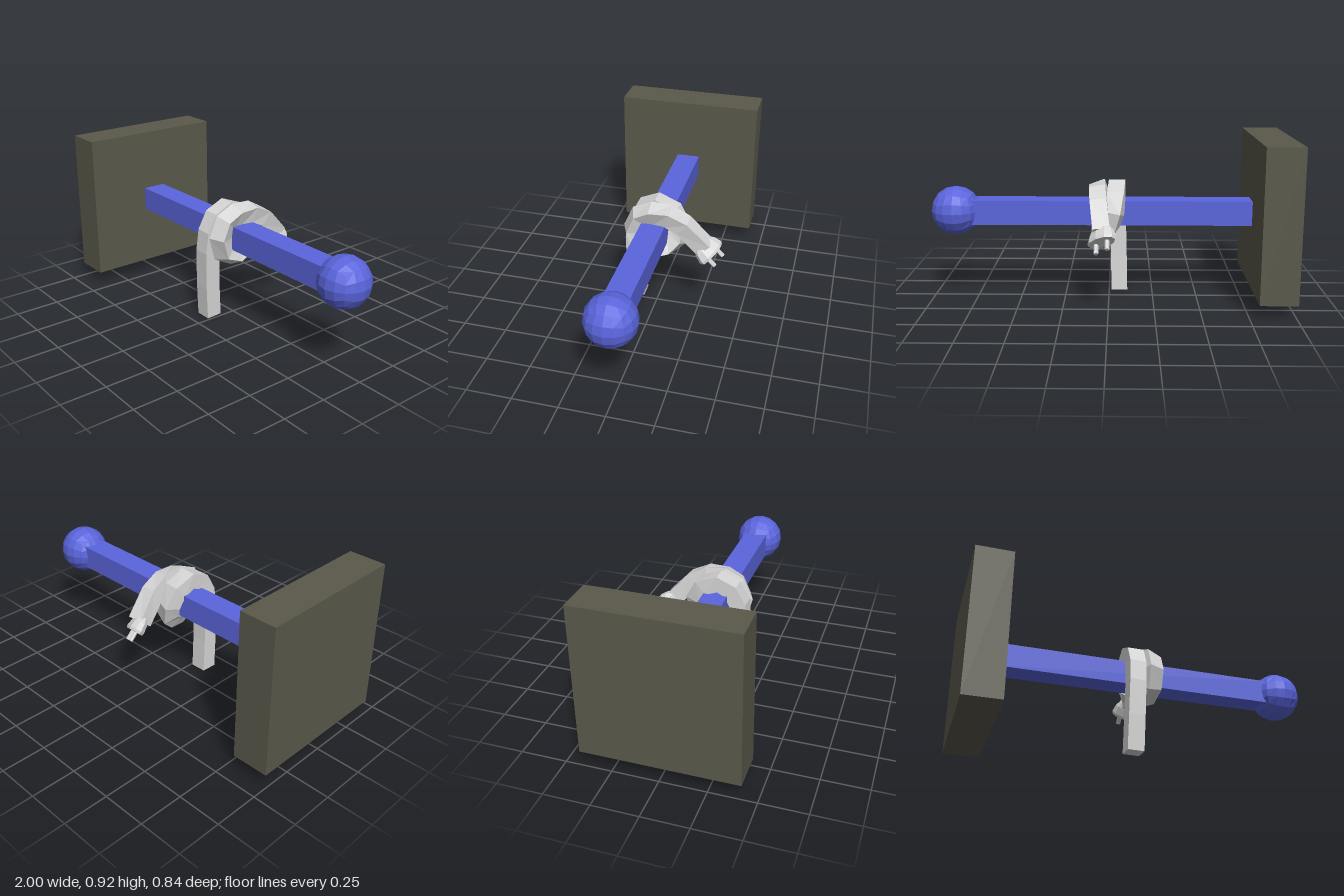
import * as THREE from 'three';

const V = (x, y, z) => new THREE.Vector3(x, y, z);

// Square cord swept along points [x, y, z, roll]
function cordGeometry(points, half) {
  const pts = points.map((p) => V(p[0], p[1], p[2]));
  const pos = [], idx = [];
  pts.forEach((p, i) => {
    const before = pts[Math.max(i - 1, 0)], after = pts[Math.min(i + 1, pts.length - 1)];
    const t = after.clone().sub(before).normalize();
    const side = V(1, 0, 0).addScaledVector(t, -t.x).normalize();
    const out = side.clone().cross(t);
    const roll = points[i][3];
    const s = side.clone().multiplyScalar(Math.cos(roll)).addScaledVector(out, -Math.sin(roll));
    const n = out.clone().multiplyScalar(Math.cos(roll)).addScaledVector(side, Math.sin(roll));
    for (const [a, b] of [[1, 1], [-1, 1], [-1, -1], [1, -1]]) {
      const c = p.clone().addScaledVector(s, a * half).addScaledVector(n, b * half);
      pos.push(c.x, c.y, c.z);
    }
    if (i === 0) return;
    for (let k = 0; k < 4; k++) {
      const a = (i - 1) * 4 + k, b = (i - 1) * 4 + (k + 1) % 4;
      idx.push(a, a + 4, b + 4, a, b + 4, b);
    }
  });
  const e = (pts.length - 1) * 4;
  idx.push(0, 1, 2, 0, 2, 3, e, e + 2, e + 1, e, e + 3, e + 2);
  const g = new THREE.BufferGeometry();
  g.setAttribute('position', new THREE.Float32BufferAttribute(pos, 3));
  g.setIndex(idx);
  const flat = g.toNonIndexed();
  flat.computeVertexNormals();
  return flat;
}

// Ball made from a subdivided cube
function ballGeometry(radius) {
  const g = new THREE.BoxGeometry(1, 1, 1, 4, 4, 4).toNonIndexed();
  const p = g.attributes.position;
  const v = V(0, 0, 0);
  for (let i = 0; i < p.count; i++) {
    v.fromBufferAttribute(p, i);
    // even out the cell sizes before projecting
    v.set(Math.tan(v.x * Math.PI / 2), Math.tan(v.y * Math.PI / 2), Math.tan(v.z * Math.PI / 2));
    v.setLength(radius);
    p.setXYZ(i, v.x, v.y, v.z);
  }
  g.computeVertexNormals();
  return g;
}

export function createModel() {
  const model = new THREE.Group();
  const material = (name, color) => {
    const m = new THREE.MeshStandardMaterial({ color, flatShading: true });
    m.name = name;
    return m;
  };
  const olive = material('dark olive', 0x5a594b);
  const blue = material('blue', 0x5a65dc);
  const grey = material('light grey', 0xd6d6d6);

  const add = (parent, name, geometry, mat, x = 0, y = 0, z = 0) => {
    const mesh = new THREE.Mesh(geometry, mat);
    mesh.name = name;
    mesh.position.set(x, y, z);
    parent.add(mesh);
    return mesh;
  };

  // Mounting block, bar and end ball
  add(model, 'wallBlock', new THREE.BoxGeometry(0.205, 0.835, 0.84), olive, -0.8975, 0.4975, 0);
  add(model, 'bar', new THREE.BoxGeometry(1.6, 0.136, 0.136), blue, 0.005, 0.494, 0);
  add(model, 'endBall', ballGeometry(0.138), blue, 0.862, 0.496, 0);

  // Cord: hangs in front, wraps once round the bar and leaves at the back
  const path = [
    [-0.06, 0, 0.127, 0], [-0.056, 0.2, 0.137, 0], [-0.051, 0.4, 0.14, 0],
    [-0.047, 0.51, 0.128, 0], [-0.045, 0.59, 0.086, 0], [-0.045, 0.625, 0.01, 0],
    [-0.042, 0.587, -0.082, 0.1], [-0.03, 0.505, -0.125, 0.25], [-0.008, 0.433, -0.112, 0.4],
    [0.015, 0.386, -0.06, 0.45], [0.036, 0.37, 0.018, 0.45], [0.045, 0.408, 0.1, 0.42],
    [0.048, 0.5, 0.124, 0.4], [0.048, 0.582, 0.088, 0.4], [0.052, 0.615, 0.015, 0.35],
    [0.055, 0.612, -0.08, 0.2], [0.053, 0.567, -0.165, 0.08], [0.037, 0.437, -0.283, 0],
  ];
  add(model, 'cord', cordGeometry(path, 0.046), grey);

  // Plug: oval flared head with two prongs
  const plug = new THREE.Group();
  plug.name = 'plug';
  const axis = V(0, -1, -1).normalize();
  const wide = V(0.14, -0.08, 0.08).normalize();
  plug.quaternion.setFromRotationMatrix(
    new THREE.Matrix4().makeBasis(wide, axis, wide.clone().cross(axis)));
  plug.position.set(0.034, 0.457, -0.263);
  const profile = [[0, 0], [0.6, 0], [0.85, 0.03], [1, 0.075], [0.94, 0.09], [0, 0.09]]
    .map(([r, y]) => new THREE.Vector2(r, y));
  const head = new THREE.LatheGeometry(profile, 10);
  head.scale(0.09, 1, 0.052);
  add(plug, 'plugHead', head, grey);
  for (const s of [-1, 1]) {
    add(plug, 'prong', new THREE.CylinderGeometry(0.013, 0.013, 0.06, 6), grey, s * 0.038, 0.115, 0);
  }
  model.add(plug);

  return model;
}
